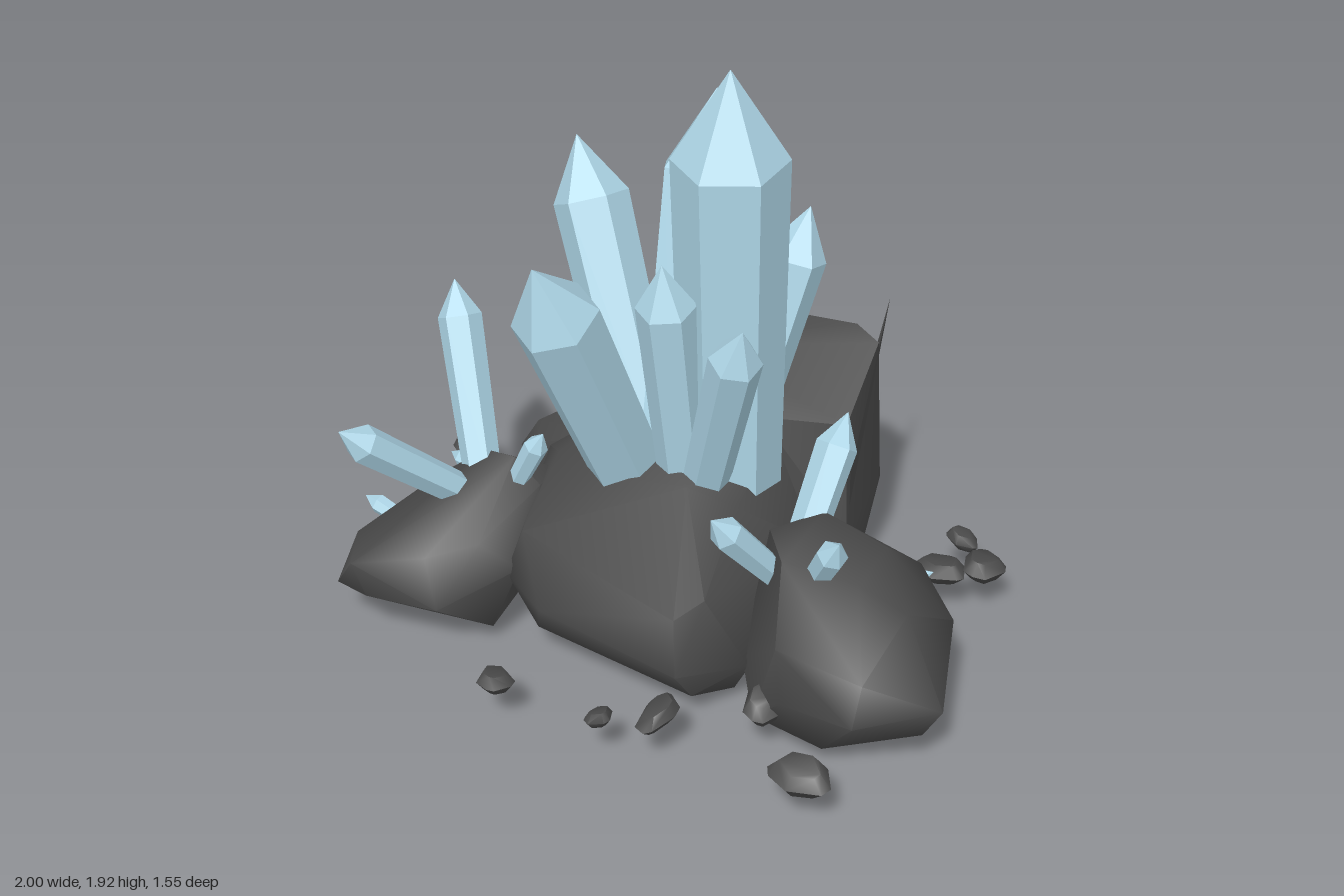
import * as THREE from 'three';
import { toCreasedNormals } from 'three/addons/utils/BufferGeometryUtils.js';
import { ConvexGeometry } from 'three/addons/geometries/ConvexGeometry.js';

const UP = new THREE.Vector3(0, 1, 0);

export function createModel() {
  const model = new THREE.Group();
  model.name = 'crystalCluster';
  const rockMat = new THREE.MeshStandardMaterial({ color: 0x4c4c4c });
  rockMat.name = 'dark rock';
  const shardMat = new THREE.MeshStandardMaterial({ color: 0x4c4c4c, side: THREE.DoubleSide });
  shardMat.name = 'dark rock shard';
  const crystalMat = new THREE.MeshStandardMaterial({ color: 0xaed6e7 });
  crystalMat.name = 'pale blue crystal';

  function add(name, geometry, material) {
    const mesh = new THREE.Mesh(geometry, material);
    mesh.name = name;
    model.add(mesh);
    return mesh;
  }

  // Boulder: hull of corner points, softened where faces meet gently
  function boulder(name, corners) {
    const hull = new ConvexGeometry(corners.map((p) => new THREE.Vector3(...p)));
    add(name, toCreasedNormals(hull, 1), rockMat);
  }

  boulder('centreRock', [
    [-0.37, 0.56, 0.1], [-0.17, 0.62, 0.2], [0.14, 0.69, 0.2], [0.27, 0.63, 0.14], [0.2, 0.64, -0.2],
    [-0.3, 0.6, -0.2], [0.31, 0.47, 0.38], [0.25, 0.42, 0.45], [-0.32, 0.46, 0.37], [-0.2, 0.28, 0.47],
    [0.26, 0.22, 0.46], [0.4, 0.2, 0.28], [0.33, 0.06, 0.24], [-0.33, 0.06, 0.22], [-0.37, 0.3, 0.39],
    [-0.54, 0.4, -0.1], [-0.5, 0.17, -0.1], [-0.3, 0.1, -0.28], [0.3, 0.1, -0.25], [0.4, 0.4, -0.1],
    [-0.26, 0.14, 0.39], [0.28, 0.12, 0.4],
  ]);
  boulder('backRock', [
    [0.36, 0.85, -0.53], [0.27, 0.87, -0.56], [0.4, 0.72, -0.27], [-0.04, 0.83, -0.55], [-0.18, 0.78, -0.32],
    [0.15, 0.7, -0.2], [-0.22, 0.7, -0.18], [0.11, 0.66, -0.63], [-0.2, 0.69, -0.59], [-0.32, 0.58, -0.54],
    [-0.37, 0.5, -0.52], [0.11, 0.32, -0.7], [-0.16, 0.3, -0.66], [0.38, 0.36, -0.54], [0.43, 0.35, -0.24],
    [0.33, 0.08, -0.54], [0.08, 0.07, -0.62], [-0.37, 0.2, -0.54], [0.36, 0.01, -0.42], [0.1, 0.02, -0.42],
    [0.3, 0.08, -0.2], [-0.33, 0.12, -0.25],
  ]);
  boulder('rightRock', [
    [0.37, 0.58, 0.12], [0.5, 0.62, 0.28], [0.48, 0.61, 0], [0.73, 0.61, 0.25], [0.7, 0.59, 0.03],
    [0.86, 0.53, 0.2], [0.84, 0.42, 0.42], [0.57, 0.44, 0.43], [0.84, 0.3, 0.47], [0.6, 0.27, 0.45],
    [1, 0.26, 0.23], [0.95, 0.17, 0.25], [0.88, 0.34, -0.06], [0.7, 0.38, -0.2], [0.48, 0.34, -0.18],
    [0.33, 0.4, -0.12], [0.36, 0.2, 0.25], [0.75, 0.03, 0.22], [0.7, 0.1, 0.38], [0.5, 0.05, 0.1],
    [0.74, 0.07, 0], [0.46, 0.1, 0.36], [0.65, 0.22, -0.19], [0.45, 0.2, -0.16],
  ]);
  boulder('leftRock', [
    [-0.95, 0.2, 0.36], [-0.9, 0.22, 0.42], [-0.68, 0.46, 0.22], [-0.58, 0.54, 0.18], [-0.46, 0.57, 0.2],
    [-0.37, 0.5, 0.2], [-0.33, 0.32, 0.38], [-0.42, 0.42, 0.45], [-0.55, 0.38, 0.55], [-0.77, 0.32, 0.62],
    [-0.85, 0.2, 0.59], [-0.72, 0.22, 0.62], [-0.5, 0.22, 0.57], [-0.42, 0.08, 0.4], [-0.74, 0.08, 0.45],
    [-0.47, 0.05, 0.2], [-0.72, 0.1, 0.12], [-0.85, 0.28, 0.13], [-0.66, 0.4, 0.02], [-0.4, 0.45, 0.04],
    [-0.62, 0.16, 0],
  ]);
  boulder('backLeftRock', [
    [-0.68, 0.36, -0.24], [-0.55, 0.45, -0.3], [-0.38, 0.46, -0.4], [-0.35, 0.46, -0.18], [-0.75, 0.24, -0.24],
    [-0.66, 0.3, -0.46], [-0.62, 0.18, -0.5], [-0.38, 0.28, -0.51], [-0.7, 0.13, -0.2], [-0.58, 0.05, -0.4],
    [-0.35, 0.05, -0.45], [-0.55, 0.04, -0.2], [-0.32, 0.04, -0.16], [-0.64, 0.33, -0.17],
  ]);

  // Thin splinter standing off the back boulder
  const shard = new THREE.BufferGeometry();
  shard.setAttribute('position', new THREE.Float32BufferAttribute([
    0.34, 0.945, -0.63, 0.36, 0.82, -0.5, 0.43, 0.45, -0.25,
    0.34, 0.945, -0.63, 0.43, 0.45, -0.25, 0.46, 0.62, -0.19,
  ], 3));
  shard.computeVertexNormals();
  add('rockShard', shard, shardMat);

  // Six-sided crystal from a buried base to its tip, turned about its axis by roll
  function crystal(name, base, tip, r, roll = 0) {
    const a = new THREE.Vector3(...base);
    const axis = new THREE.Vector3(...tip).sub(a);
    const len = axis.length();
    const profile = [[0, 0], [r * 0.85, 0], [r, len - r * 1.65], [0, len]]
      .map(([x, y]) => new THREE.Vector2(x, y));
    const geo = new THREE.LatheGeometry(profile, 6).toNonIndexed();
    geo.computeVertexNormals();
    const mesh = add(name, geo, crystalMat);
    mesh.position.copy(a);
    mesh.quaternion.setFromUnitVectors(UP, axis.normalize());
    mesh.rotateY(roll);
  }

  // Large central spray
  [
    [[0.145, 0.4, -0.045], [0.14, 1.93, -0.02], 0.167],
    [[-0.11, 0.45, 0.04], [-0.19, 1.45, 0.46], 0.128],
    [[-0.05, 0.45, -0.03], [-0.175, 1.58, -0.478], 0.145, 0.5],
    [[-0.1, 0.45, -0.03], [-0.55, 1.4, -0.3], 0.115],
    [[0.08, 0.45, -0.06], [0.21, 1.36, -0.36], 0.094],
    [[0.05, 0.45, 0.04], [0.04, 1.385, 0.17], 0.088],
    [[-0.13, 0.45, 0.04], [-0.37, 1.16, 0.08], 0.072],
    [[0.08, 0.45, 0.05], [0.335, 1.3, 0.23], 0.077],
  ].forEach((c, i) => crystal('mainCrystal' + (i + 1), ...c));

  // Small crystals on the boulders
  [
    [[-0.56, 0.42, 0.22], [-0.8, 0.975, 0], 0.067],
    [[-0.58, 0.42, 0.26], [-0.77, 0.8, 0.625], 0.058],
    [[-0.45, 0.48, 0.22], [-0.34, 0.71, 0.22], 0.037],
    [[0.44, 0.5, 0.2], [0.34, 0.78, 0.4], 0.05],
    [[0.44, 0.44, 0.1], [0.44, 0.825, -0.2], 0.062],
    [[0.55, 0.5, 0.2], [0.69, 0.77, 0.3], 0.045],
    [[0.48, 0.17, -0.17], [0.69, 0.27, -0.31], 0.045],
    [[0.16, 0.17, -0.55], [0.22, 0.28, -0.78], 0.042],
    [[-0.5, 0.18, -0.46], [-0.63, 0.24, -0.57], 0.035],
    [[-0.42, 0.18, -0.44], [-0.54, 0.23, -0.53], 0.03],
    [[-0.66, 0.2, -0.08], [-0.96, 0.19, -0.145], 0.032],
    [[-0.82, 0.2, 0.25], [-1, 0.25, 0.25], 0.03],
  ].forEach((c, i) => crystal('smallCrystal' + (i + 1), ...c));

  // Loose pebbles: x, z, half width, half depth
  [
    [-0.19, 0.71, 0.055, 0.06], [0.15, 0.69, 0.04, 0.047], [0.285, 0.59, 0.053, 0.09],
    [0.755, 0.6, 0.1, 0.067], [0.52, 0.4, 0.062, 0.07], [0.65, -0.59, 0.054, 0.042],
    [0.765, -0.5, 0.068, 0.075], [0.66, -0.42, 0.088, 0.065], [-0.42, -0.69, 0.052, 0.058],
    [-0.93, -0.22, 0.057, 0.075], [-0.8, -0.13, 0.065, 0.065], [-0.66, -0.07, 0.037, 0.05],
  ].forEach(([x, z, w, d], i) => {
    const corners = [];
    const h = 0.01 + 0.4 * Math.min(w, d);
    for (let k = 0; k < 8; k++) {
      const angle = (k + 0.3 * Math.sin(i * 3 + k * 2)) * Math.PI / 4;
      const c = w * Math.cos(angle), s = d * Math.sin(angle);
      const tilt = 0.01 * Math.sin(i + k * 0.8);
      corners.push([x + c, 0.195 + tilt, z + s]);
      corners.push([x + c * 0.65, 0.195 + h + tilt, z + s * 0.65]);
      corners.push([x + c * 0.6, 0.195 - h + tilt, z + s * 0.6]);
    }
    boulder('pebble' + (i + 1), corners);
  });

  return model;
}
